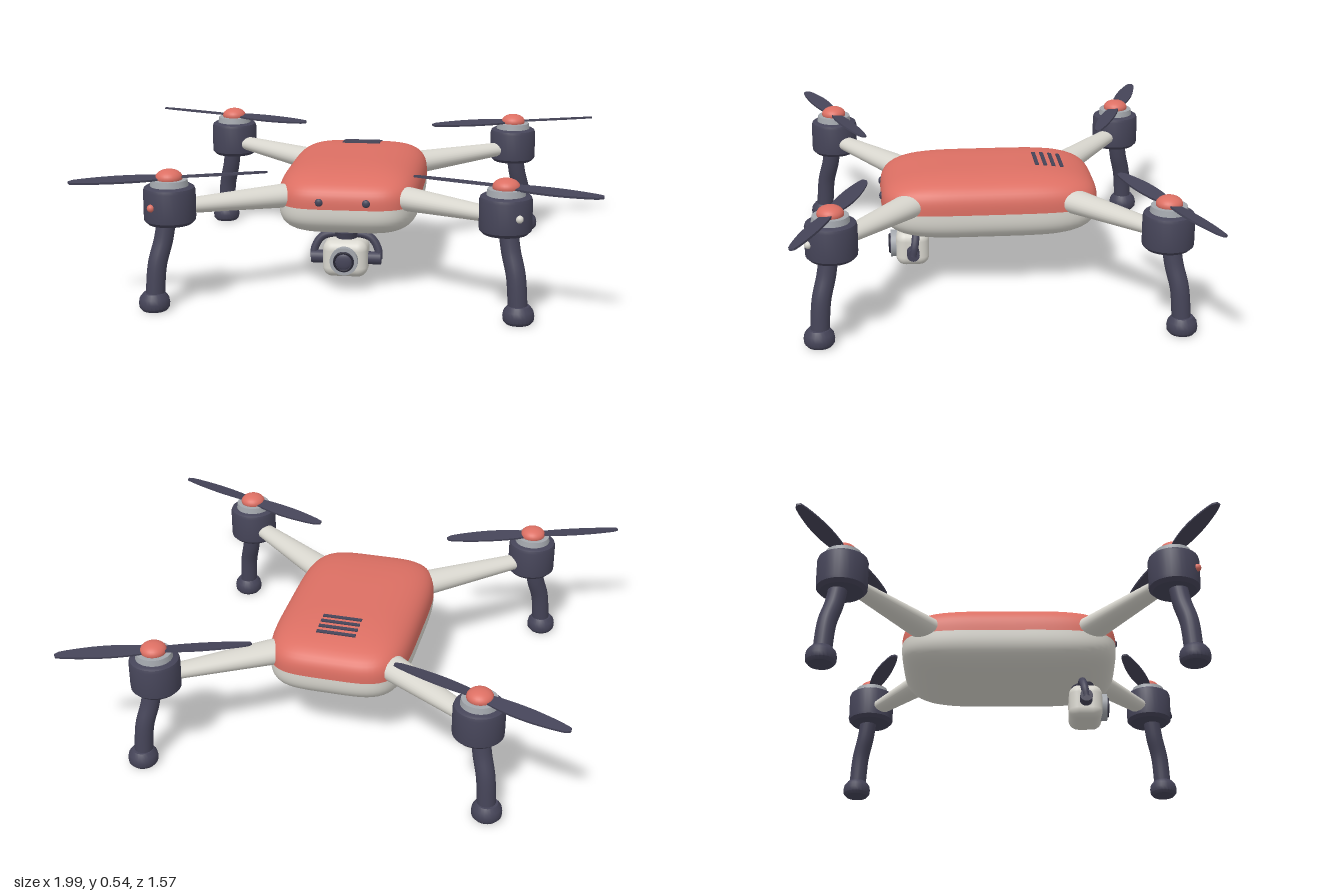
import * as THREE from 'three';
import { RoundedBoxGeometry } from 'three/addons/geometries/RoundedBoxGeometry.js';
import { toCreasedNormals } from 'three/addons/utils/BufferGeometryUtils.js';

const mat = (name, color) => {
  const m = new THREE.MeshStandardMaterial({ color });
  m.name = name;
  return m;
};
const coral = mat('coral', 0xdc6f63);
const cream = mat('cream', 0xd8d6ce);
const dark = mat('dark slate', 0x454458);
const grey = mat('metal grey', 0xa3a7ad);
const black = mat('lens black', 0x262633);

function add(parent, name, geometry, material, x = 0, y = 0, z = 0) {
  const mesh = new THREE.Mesh(geometry, material);
  mesh.name = name;
  mesh.position.set(x, y, z);
  parent.add(mesh);
  return mesh;
}
const lathe = (pts, seg = 32) =>
  toCreasedNormals(new THREE.LatheGeometry(pts.map(p => new THREE.Vector2(...p)), seg), 0.6);

// Body: superellipse plan (exponent M) with a superellipse side profile (exponent N)
const A = 0.285, B = 0.445, H = 0.14, MID = 0.35, M = 4.5, N = 3.2;
const radius = (c, s, n) => 1 / (Math.abs(c) ** n + Math.abs(s) ** n) ** (1 / n);
const topY = (x, z) => {
  const q = Math.abs(x / A) ** M + Math.abs(z / B) ** M;
  return MID + H * (1 - q ** (N / M)) ** (1 / N);
};

function halfShell(dir) {
  const rows = 20, cols = 96, pos = [], idx = [];
  for (let i = 0; i <= rows; i++) {
    const p = (i / rows) * Math.PI / 2, rp = radius(Math.cos(p), Math.sin(p), N);
    const s = i === rows ? 0 : Math.cos(p) * rp;
    for (let j = 0; j < cols; j++) {
      const t = (j / cols) * Math.PI * 2, c = Math.cos(t), n = Math.sin(t);
      const r = radius(c, n, M) * s;
      pos.push(A * c * r, MID + dir * H * Math.sin(p) * rp, B * n * r);
      if (i === rows) continue;
      const k = (j + 1) % cols;
      const a = i * cols + j, b = i * cols + k, d = a + cols, e = b + cols;
      if (dir > 0) idx.push(a, d, b, b, d, e);
      else idx.push(a, b, d, b, e, d);
    }
  }
  const g = new THREE.BufferGeometry();
  g.setAttribute('position', new THREE.Float32BufferAttribute(pos, 3));
  g.setIndex(idx);
  g.computeVertexNormals();
  return g;
}

function bladeGeometry() {
  const s = new THREE.Shape();
  s.moveTo(0.01, -0.018);
  s.quadraticCurveTo(0.12, -0.042, 0.24, -0.033);
  s.quadraticCurveTo(0.32, -0.026, 0.362, -0.016);
  s.lineTo(0.38, -0.004);
  s.lineTo(0.375, 0.012);
  s.quadraticCurveTo(0.33, 0.024, 0.22, 0.03);
  s.quadraticCurveTo(0.1, 0.034, 0.01, 0.018);
  const g = new THREE.ExtrudeGeometry(s, { depth: 0.008, bevelEnabled: false, curveSegments: 8 });
  return g.translate(0, 0, -0.004).rotateX(-Math.PI / 2);
}

const podGeo = lathe([[0, 0.333], [0.085, 0.333], [0.099, 0.347], [0.1, 0.36], [0.1, 0.462], [0.096, 0.474], [0.086, 0.48], [0, 0.48]]);
const footGeo = lathe([[0, 0], [0.048, 0], [0.058, 0.012], [0.06, 0.03], [0.056, 0.05], [0.042, 0.068], [0, 0.07]], 24);
const bladeGeo = bladeGeometry();

// One arm with its motor, propeller and leg
function rotorArm(sx, sz) {
  const g = new THREE.Group();
  g.name = (sz > 0 ? 'front' : 'rear') + (sx > 0 ? 'Left' : 'Right') + 'RotorArm';
  const P = 0.64;

  const from = new THREE.Vector3(sx * 0.2, 0.378, sz * 0.312);
  const to = new THREE.Vector3(sx * 0.62, 0.392, sz * 0.625);
  const armGeo = new THREE.CylinderGeometry(0.036, 0.066, from.distanceTo(to), 28);
  armGeo.rotateX(Math.PI / 2).scale(1, 0.75, 1);
  const arm = add(g, 'arm', armGeo, cream);
  arm.position.copy(from).lerp(to, 0.5);
  arm.lookAt(to);

  add(g, 'motorPod', podGeo, dark, sx * P, 0, sz * P);
  add(g, 'motorRing', new THREE.CylinderGeometry(0.07, 0.074, 0.026, 32), grey, sx * P, 0.491, sz * P);

  // Two pitched blades and the spinner cap
  const prop = new THREE.Group();
  prop.name = 'propeller';
  prop.position.set(sx * P, 0.511, sz * P);
  prop.rotation.y = -sx * sz * 0.36;
  for (const turn of [0, Math.PI]) {
    const holder = new THREE.Group();
    holder.name = 'bladeHolder';
    holder.rotation.y = turn;
    add(holder, 'blade', bladeGeo, dark).rotation.x = sx * sz * 0.16;
    prop.add(holder);
  }
  add(prop, 'spinner', new THREE.SphereGeometry(0.052, 28, 18).scale(1, 0.62, 1), coral);
  g.add(prop);

  // Curved leg and foot
  const path = new THREE.CatmullRomCurve3([[0.65, 0.36], [0.663, 0.27], [0.684, 0.18], [0.695, 0.04]]
    .map(([d, y]) => new THREE.Vector3(sx * d, y, sz * d)));
  add(g, 'leg', new THREE.TubeGeometry(path, 20, 0.037, 20), dark);
  add(g, 'foot', footGeo, dark, sx * 0.697, 0, sz * 0.697);

  // Navigation light on the front pods
  if (sz > 0) {
    add(g, 'navigationLight', new THREE.SphereGeometry(0.015, 16, 12), sx > 0 ? cream : coral,
      sx * (P + 0.053), 0.408, P + 0.085);
  }
  return g;
}

// Camera slung under the nose
function gimbalCamera() {
  const g = new THREE.Group();
  g.name = 'gimbalCamera';
  add(g, 'cameraBody', new RoundedBoxGeometry(0.18, 0.15, 0.138, 5, 0.04), cream, 0, 0.13, 0.317);
  const disc = (name, r, z0, z1, m) =>
    add(g, name, new THREE.CylinderGeometry(r, r, z1 - z0, 32).rotateX(Math.PI / 2), m, 0, 0.13, (z0 + z1) / 2);
  disc('lensBarrel', 0.056, 0.37, 0.407, grey);
  disc('lensRim', 0.042, 0.4, 0.411, dark);
  add(g, 'lensGlass', new THREE.SphereGeometry(0.032, 24, 16).scale(1, 1, 0.25), dark, 0, 0.13, 0.409);
  add(g, 'lensSeam', new THREE.TorusGeometry(0.037, 0.004, 8, 32), black, 0, 0.13, 0.411);

  // Yoke: mount, arched bracket and side pivots
  add(g, 'mount', new THREE.CylinderGeometry(0.05, 0.04, 0.03, 24), dark, 0, 0.217, 0.305);
  const yoke = new THREE.CatmullRomCurve3([[-0.13, 0.12], [-0.128, 0.16], [-0.095, 0.208], [0, 0.222],
    [0.095, 0.208], [0.128, 0.16], [0.13, 0.12]]
    .map(([x, y]) => new THREE.Vector3(x, y, 0.317 - (y - 0.12) * 0.15)));
  add(g, 'yoke', new THREE.TubeGeometry(yoke, 40, 0.016, 14), dark);
  for (const s of [-1, 1]) {
    add(g, 'pivot', new THREE.CylinderGeometry(0.026, 0.026, 0.055, 20).rotateZ(Math.PI / 2), dark, s * 0.113, 0.125, 0.317);
  }
  return g;
}

export function createModel() {
  const model = new THREE.Group();
  model.name = 'quadcopter';
  add(model, 'upperShell', halfShell(1), coral);
  add(model, 'lowerShell', halfShell(-1), cream);

  // Cooling vents lying on the rear of the top shell
  for (let i = 0; i < 4; i++) {
    const z = -0.2 - i * 0.034;
    const vent = add(model, 'vent', new THREE.BoxGeometry(0.16, 0.009, 0.015), dark, 0, topY(0, z), z);
    vent.rotation.x = -Math.atan2(topY(0, z + 0.01) - topY(0, z - 0.01), 0.02);
  }
  // Forward sensors
  for (const s of [-1, 1]) {
    add(model, 'frontSensor', new THREE.SphereGeometry(0.016, 18, 12).scale(1, 1, 0.6), dark, s * 0.093, 0.378, 0.442);
  }
  for (const sx of [-1, 1]) for (const sz of [-1, 1]) model.add(rotorArm(sx, sz));
  model.add(gimbalCamera());
  return model;
}
